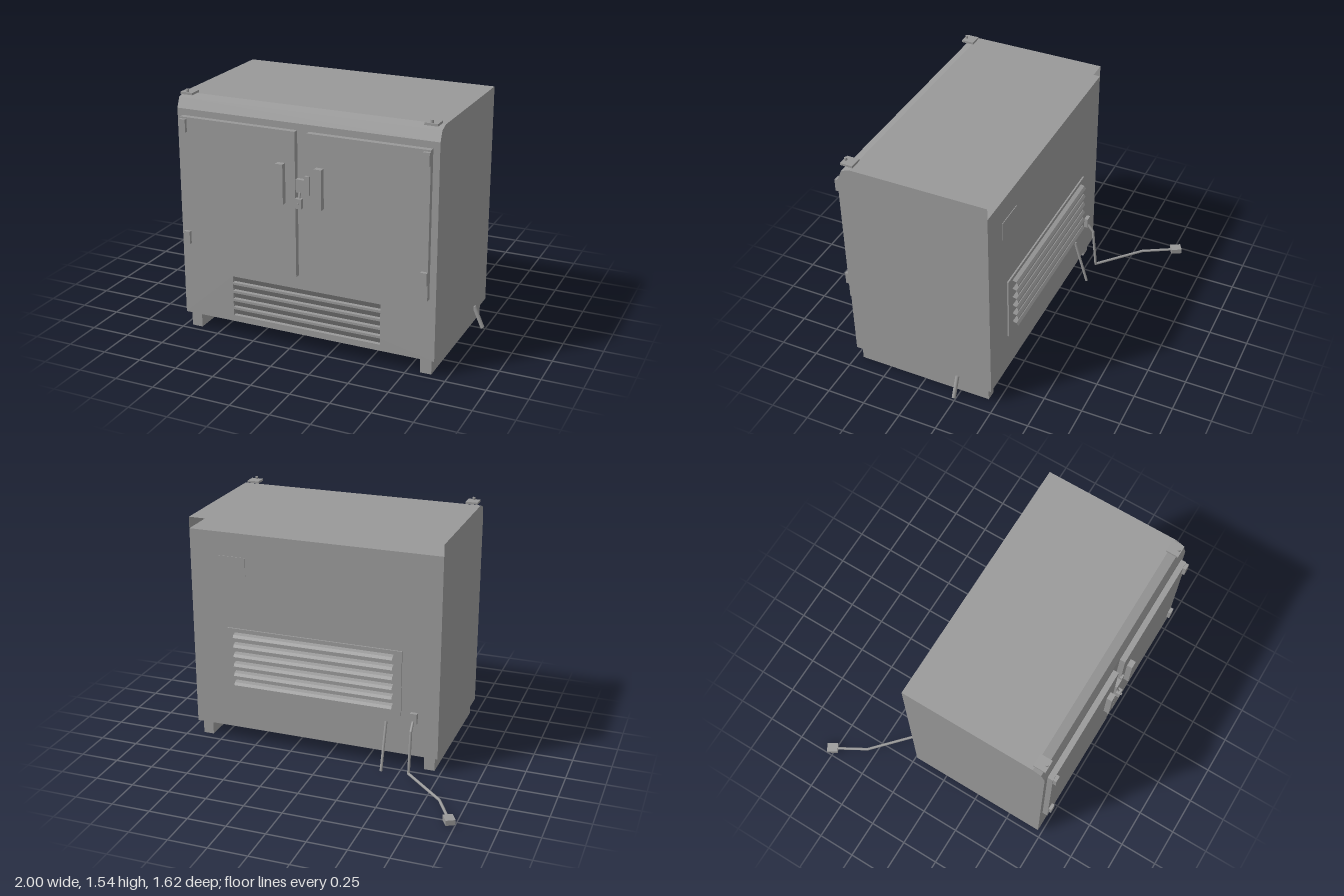
import * as THREE from 'three';

export function createModel() {
  const model = new THREE.Group();
  const grey = new THREE.MeshStandardMaterial({ color: 0x999999, side: THREE.DoubleSide });
  grey.name = 'painted grey';

  const add = (name, geo) => {
    const mesh = new THREE.Mesh(geo, grey);
    mesh.name = name;
    model.add(mesh);
    return mesh;
  };
  // Box from its limits on each axis
  const box = (name, x0, x1, y0, y1, z0, z1) => {
    const geo = new THREE.BoxGeometry(x1 - x0, y1 - y0, z1 - z0);
    return add(name, geo.translate((x0 + x1) / 2, (y0 + y1) / 2, (z0 + z1) / 2));
  };
  // Folded sheet: a [z, y] profile swept from x0 to x1
  const sheet = (name, profile, x0, x1) => {
    const pos = [];
    for (let i = 0; i < profile.length - 1; i++) {
      const [za, ya] = profile[i], [zb, yb] = profile[i + 1];
      pos.push(x0, ya, za, x1, ya, za, x1, yb, zb, x0, ya, za, x1, yb, zb, x0, yb, zb);
    }
    const geo = new THREE.BufferGeometry();
    geo.setAttribute('position', new THREE.Float32BufferAttribute(pos, 3));
    geo.computeVertexNormals();
    return add(name, geo);
  };
  // Flat panel across x from a [z, y] outline
  const endPanel = (name, outline, x) => {
    const shape = new THREE.Shape(outline.map(([z, y]) => new THREE.Vector2(z, y)));
    return add(name, new THREE.ShapeGeometry(shape).rotateY(-Math.PI / 2).translate(x, 0, 0));
  };
  // Round bar between two points
  const rod = (name, a, b, radius) => {
    const from = new THREE.Vector3(...a), to = new THREE.Vector3(...b);
    const mesh = add(name, new THREE.CylinderGeometry(radius, radius, from.distanceTo(to), 12));
    mesh.position.copy(from).lerp(to, 0.5);
    mesh.quaternion.setFromUnitVectors(new THREE.Vector3(0, 1, 0), to.sub(from).normalize());
    return mesh;
  };

  // Cabinet shell, open underneath, with a slot below the roof at the back
  const L = -0.73, R = 0.925, F = 0.73, B = -0.22, BOTTOM = 0.1, TOP = 1.51;
  const roof = [[B, TOP], [0.65, TOP], [0.705, 1.49], [F, 1.43]];
  sheet('roof', roof, L, R);
  sheet('backPanel', [[B, BOTTOM], [B, 1.435], [0.72, 1.435]], L, R);
  for (const x of [L, R]) endPanel('sidePanel', [[B, BOTTOM], ...roof, [F, BOTTOM]], x);

  // Front panel with five louvre openings
  const front = new THREE.Shape([[L, BOTTOM], [R, BOTTOM], [R, 1.43], [L, 1.43]].map(p => new THREE.Vector2(...p)));
  const VX0 = -0.39, VX1 = 0.585;
  for (let i = 0; i < 5; i++) {
    const y0 = 0.14 + i * 0.055, y1 = y0 + 0.04;
    front.holes.push(new THREE.Path([[VX0, y0], [VX0, y1], [VX1, y1], [VX1, y0]].map(p => new THREE.Vector2(...p))));
    const fold = [[F, y1], [F - 0.025, y0], [F, y0]];
    sheet('frontLouvre', fold, VX0, VX1);
    for (const x of [VX0, VX1]) endPanel('frontLouvreEnd', fold, x);
  }
  add('frontPanel', new THREE.ShapeGeometry(front).translate(0, 0, F));

  // Doors, hinges and handles
  box('rightDoor', -0.695, 0.06, 0.49, 1.39, F, 0.765);
  box('leftDoor', 0.135, 0.885, 0.49, 1.39, F, 0.765);
  for (const x of [-0.69, 0.845])
    for (const y of [0.59, 1.3]) box('hinge', x, x + 0.04, y, y + 0.08, 0.76, 0.785);
  for (const x of [-0.05, 0.195]) box('handle', x, x + 0.047, 0.95, 1.195, 0.76, 0.8);

  // Latch and padlock
  box('latchBase', 0.06, 0.135, 1.04, 1.1, F, 0.75);
  box('latchBar', 0.07, 0.125, 1.03, 1.11, 0.75, 0.777);
  box('latchPlate', 0.125, 0.155, 1.02, 1.135, 0.76, 0.777);
  box('padlock', 0.075, 0.115, 0.94, 1.0, 0.775, 0.802);
  rod('padlockShackle', [0.095, 0.99, 0.785], [0.095, 1.04, 0.77], 0.006);
  rod('padlockKeyhole', [0.095, 0.97, 0.8], [0.095, 0.97, 0.81], 0.008);

  // Runners under each side
  box('rightRunner', -0.705, -0.635, 0, BOTTOM, -0.19, 0.705);
  box('leftRunner', 0.83, 0.9, 0, BOTTOM, -0.19, 0.705);

  // Roof brackets with studs
  for (const x of [-0.67, 0.865]) {
    box('roofBracket', x - 0.04, x + 0.04, 1.514, 1.528, 0.64, 0.72);
    rod('bracketStud', [x, 1.525, 0.705], [x, 1.545, 0.705], 0.009);
  }

  // Back grille: backing plate, and open-ended louvres
  box('grillePlate', -0.487, 0.685, 0.365, 0.8, -0.23, B);
  for (let i = 0; i < 6; i++) {
    const y = 0.4 + i * 0.066;
    sheet('backLouvre', [[-0.23, y + 0.045], [-0.255, y + 0.037], [-0.267, y + 0.02], [-0.267, y + 0.008]], -0.435, 0.63);
  }
  box('backLabelPlate', 0.55, 0.74, 1.16, 1.28, -0.224, B);

  // Power cord with its socket and plug
  box('cordSocket', -0.595, -0.55, 0.33, 0.4, -0.245, B);
  const cord = [[-0.57, 0.345, -0.24], [-0.57, 0.295, -0.28], [-0.57, 0.016, -0.31], [-0.84, 0.016, -0.56], [-0.945, 0.016, -0.745]];
  for (let i = 0; i < cord.length - 1; i++) {
    rod('powerCord', cord[i], cord[i + 1], 0.009);
    if (i) add('cordBend', new THREE.SphereGeometry(0.009, 10, 8)).position.set(...cord[i]);
  }
  const plug = add('plug', new THREE.BoxGeometry(0.06, 0.034, 0.072));
  plug.position.set(-0.957, 0.018, -0.768);
  plug.rotation.y = Math.atan2(-0.105, -0.185);

  // Drain pipes at the back and the left side
  rod('backDrain', [-0.39, 0.31, -0.222], [-0.39, 0.005, -0.315], 0.009);
  rod('sideDrain', [0.925, 0.145, 0.01], [0.985, 0.01, 0.01], 0.013);

  return model;
}
